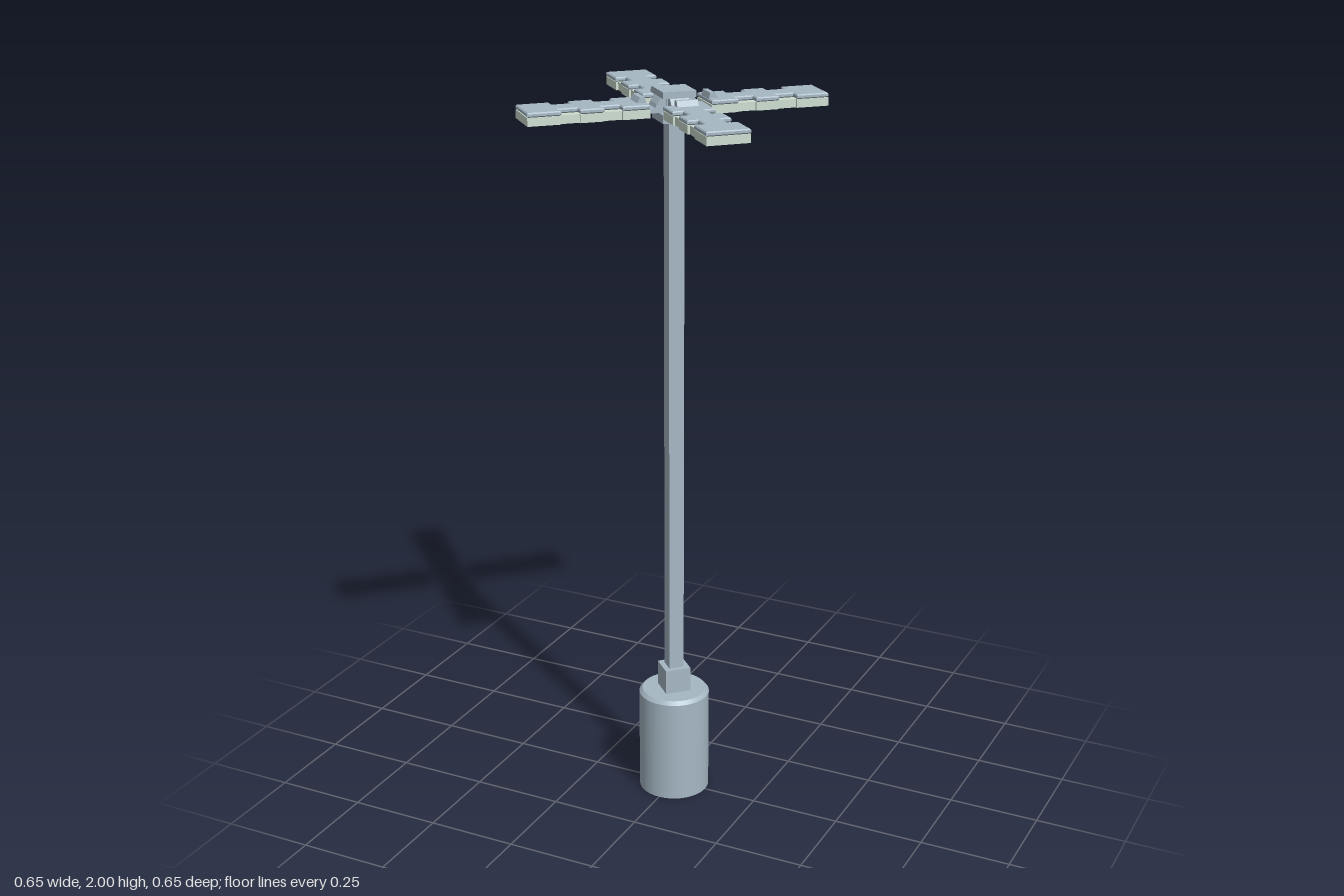
import * as THREE from 'three';

const metal = new THREE.MeshStandardMaterial({ color: 0xa6b8c4, flatShading: true });
const smoothMetal = new THREE.MeshStandardMaterial({ color: 0xa6b8c4 });
const pale = new THREE.MeshStandardMaterial({ color: 0xcfdfd2, flatShading: true });

function add(parent, name, geometry, material) {
  const mesh = new THREE.Mesh(geometry, material);
  mesh.name = name;
  parent.add(mesh);
  return mesh;
}

// Box spanning y0..y1, centred on x and z
function block(parent, name, w, d, y0, y1, x = 0) {
  const mesh = add(parent, name, new THREE.BoxGeometry(w, y1 - y0, d), metal);
  mesh.position.set(x, (y0 + y1) / 2, 0);
  return mesh;
}

// Arm outline along +x with two notches on each side
function armShape(half, notchHalf, inset = 0) {
  const cuts = [[0.154, 0.202], [0.264, 0.313]];
  const side = [[0.082 + inset, half - inset]];
  for (const [a, b] of cuts) {
    side.push([a - inset, half - inset], [a - inset, notchHalf - inset],
      [b + inset, notchHalf - inset], [b + inset, half - inset]);
  }
  side.push([0.4 - inset, half - inset]);
  const mirrored = side.slice().reverse().map(([x, y]) => [x, y]);
  return new THREE.Shape([
    ...side.map(([x, y]) => new THREE.Vector2(x, -y)),
    ...mirrored.map(([x, y]) => new THREE.Vector2(x, y)),
  ]);
}

// Flat plate extruded upward from y0
function plate(shape, y0, height, bevel) {
  const g = new THREE.ExtrudeGeometry(shape, {
    depth: height - 2 * bevel, bevelEnabled: bevel > 0,
    bevelSize: bevel, bevelThickness: bevel, bevelSegments: 1,
  });
  g.rotateX(-Math.PI / 2);
  g.translate(0, y0 + bevel, 0);
  return g;
}

// Side profile (x outward, y up) given a width across z
function profile(points, width) {
  const shape = new THREE.Shape(points.map(([x, y]) => new THREE.Vector2(x, y)));
  const g = new THREE.ExtrudeGeometry(shape, { depth: width, bevelEnabled: false });
  return g.translate(0, 0, -width / 2);
}

function createArm() {
  const arm = new THREE.Group();
  arm.name = 'arm';
  add(arm, 'lightPanel', plate(armShape(0.056, 0.05), 1.94, 0.022, 0), pale);
  add(arm, 'armCover', plate(armShape(0.057, 0.029, 0.003), 1.962, 0.012, 0.003), metal);
  // Tab joining the arm to the hub
  block(arm, 'armTab', 0.07, 0.05, 1.945, 1.958, 0.055);
  // Sloped rib beside the hub
  add(arm, 'hubRib', profile([[0.02, 1.956], [0.06, 1.956], [0.055, 1.968], [0.044, 1.982], [0.02, 1.982]], 0.052), metal);
  // Sloped clamp on top of the arm
  add(arm, 'clamp', profile([[0.083, 1.972], [0.109, 1.972], [0.1, 1.988], [0.087, 1.988]], 0.056), metal);
  return arm;
}

export function createModel() {
  const model = new THREE.Group();
  model.name = 'streetLamp';

  // Round base with a chamfered rim
  const base = add(model, 'base', new THREE.CylinderGeometry(0.098, 0.098, 0.295, 40), smoothMetal);
  base.position.y = 0.1475;
  const rim = add(model, 'baseRim', new THREE.CylinderGeometry(0.089, 0.098, 0.01, 40), smoothMetal);
  rim.position.y = 0.3;

  // Square mast, collar and hub, turned to a corner
  const mast = new THREE.Group();
  mast.name = 'mast';
  mast.rotation.y = Math.PI / 4;
  model.add(mast);
  block(mast, 'collar', 0.072, 0.072, 0.3, 0.375);
  block(mast, 'pole', 0.042, 0.042, 0.37, 1.93);
  block(mast, 'hubBottom', 0.088, 0.088, 1.92, 1.942);
  block(mast, 'hubCore', 0.06, 0.06, 1.94, 1.985);
  block(mast, 'hubCap', 0.088, 0.088, 1.983, 2.0);

  // Four arms on the diagonals
  for (let i = 0; i < 4; i++) {
    const arm = createArm();
    arm.rotation.y = Math.PI / 4 + i * Math.PI / 2;
    model.add(arm);
  }
  return model;
}
